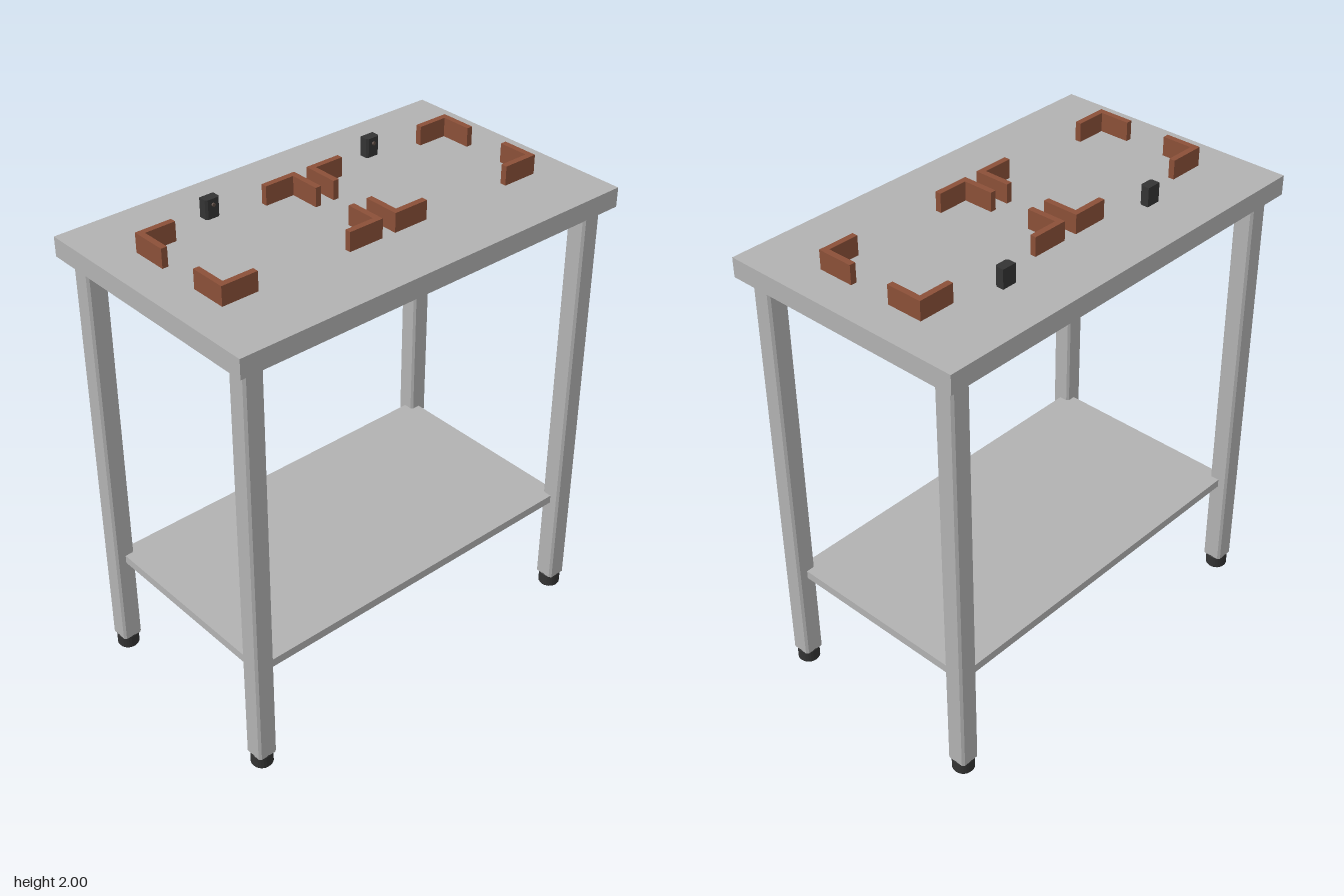
import * as THREE from 'three';

const steel = new THREE.MeshStandardMaterial({ color: 0xb2b2b2, name: 'steel grey' });
const brown = new THREE.MeshStandardMaterial({ color: 0x8b5038, name: 'bracket brown' });
const black = new THREE.MeshStandardMaterial({ color: 0x343434, name: 'rubber black' });
const sensor = new THREE.MeshStandardMaterial({ color: 0x5a4a42, name: 'lens brown' });
steel.flatShading = brown.flatShading = black.flatShading = true;

function add(parent, name, geometry, material, x, y, z) {
  const mesh = new THREE.Mesh(geometry, material);
  mesh.name = name;
  mesh.position.set(x, y, z);
  parent.add(mesh);
  return mesh;
}

// Extrudes an outline given in x and -z straight upwards from y = 0
function extrudeUp(points, height) {
  const shape = new THREE.Shape(points.map(([x, y]) => new THREE.Vector2(x, y)));
  return new THREE.ExtrudeGeometry(shape, { depth: height, bevelEnabled: false }).rotateX(-Math.PI / 2);
}

function chamferedRect(w, d, c) {
  const a = w / 2, b = d / 2;
  return [[a - c, -b], [a, -b + c], [a, b - c], [a - c, b], [-a + c, b], [-a, b - c], [-a, -b + c], [-a + c, -b]];
}

export function createModel() {
  const table = new THREE.Group();
  table.name = 'workTable';

  // Table top and lower shelf, whose corners run into the legs
  add(table, 'tableTop', new THREE.BoxGeometry(1.79, 0.08, 1.06), steel, 0, 1.882, 0);
  add(table, 'lowerShelf', new THREE.BoxGeometry(1.62, 0.036, 0.9), steel, 0, 0.473, 0);

  // Square tube legs with round rubber feet
  const legGeo = extrudeUp(chamferedRect(0.085, 0.085, 0.009), 1.785);
  const footGeo = new THREE.LatheGeometry(
    [[0, 0], [0.041, 0], [0.045, 0.006], [0.045, 0.058], [0.041, 0.066], [0, 0.066]].map(([r, y]) => new THREE.Vector2(r, y)), 24);
  for (const sx of [-1, 1]) {
    for (const sz of [-1, 1]) {
      add(table, 'leg', legGeo, steel, sx * 0.81, 0.06, sz * 0.448);
      add(table, 'foot', footGeo, black, sx * 0.81, 0, sz * 0.448);
    }
  }

  // Two fixtures: four corner brackets and one sensor block each
  const L = 0.153, t = 0.025, topY = 1.922, h = 0.078;
  const bracketGeo = extrudeUp([[0, 0], [L, 0], [L, t], [t, t], [t, L], [0, L]], h);
  const blockGeo = extrudeUp([[-0.031, 0.02], [-0.031, -0.012], [-0.023, -0.02], [0.023, -0.02], [0.031, -0.012], [0.031, 0.02]].reverse()
    .reverse(), h);
  const lensGeo = new THREE.CylinderGeometry(0.007, 0.007, 0.008, 12).rotateX(Math.PI / 2);
  for (const side of [-1, 1]) {
    const fixture = new THREE.Group();
    fixture.name = side < 0 ? 'rightFixture' : 'leftFixture';
    fixture.position.set(side * 0.386, topY, 0);
    table.add(fixture);
    const corners = [[-1, 1], [1, 1], [1, -1], [-1, -1]];
    corners.forEach(([sx, sz], i) => {
      add(fixture, 'cornerBracket', bracketGeo, brown, sx * 0.356, 0, sz * 0.243).rotation.y = i * Math.PI / 2;
    });
    add(fixture, 'sensorBlock', blockGeo, black, 0, 0, -0.288);
    add(fixture, 'sensorLens', lensGeo, sensor, 0, 0.055, -0.265);
  }
  return table;
}
